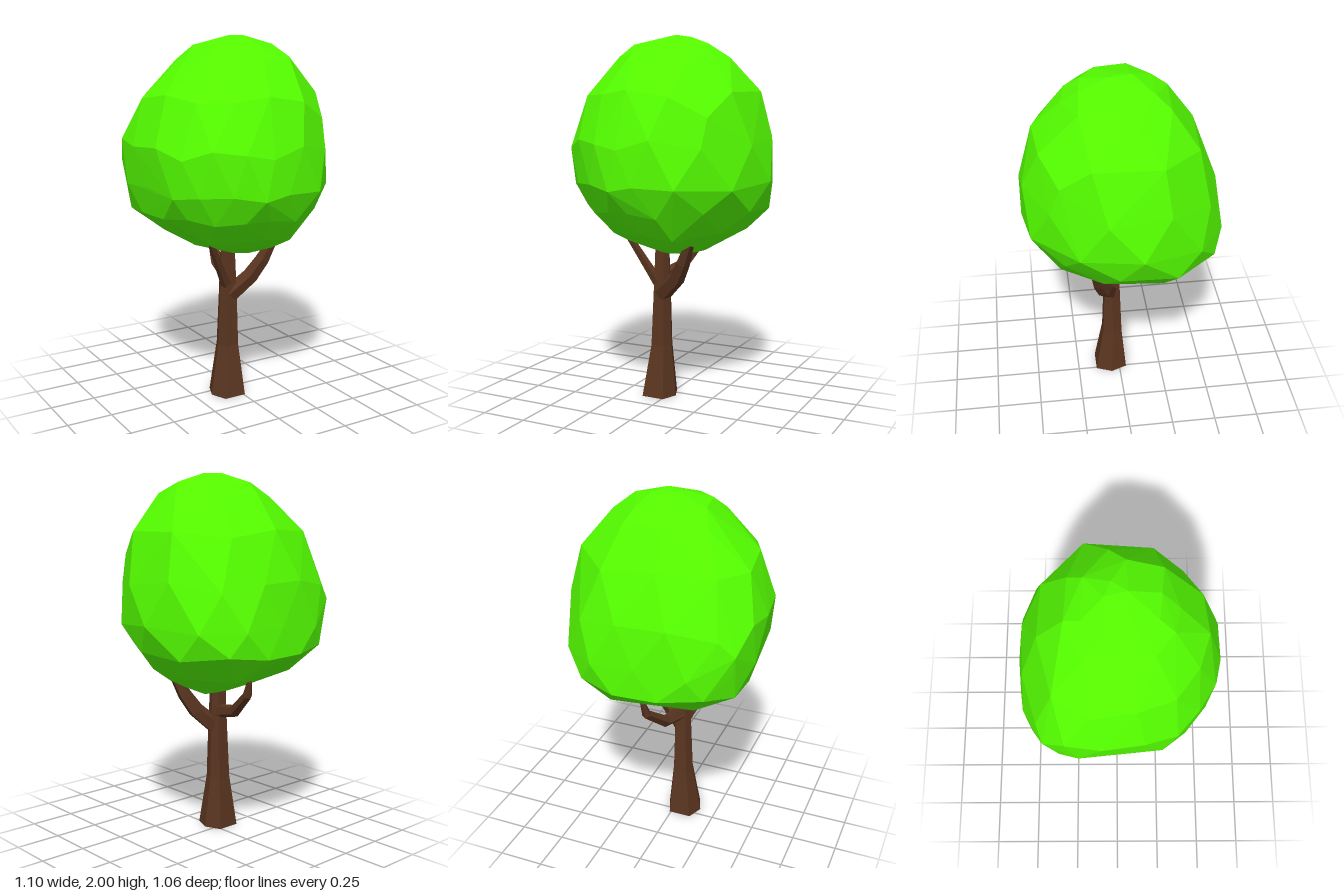
import * as THREE from 'three';
import { ConvexGeometry } from 'three/addons/geometries/ConvexGeometry.js';

const bark = new THREE.MeshStandardMaterial({ color: 0x5a3520, flatShading: true });
const leaf = new THREE.MeshStandardMaterial({ color: 0x55ff00, flatShading: true });

// Tapered limb: polygon rings [x, y, z, radius] lofted along a path, closed at both ends.
// Level rings stay horizontal; a bulge below 1 makes the polygon squarer.
function limb(name, path, sides, level = false, bulge = 1) {
  const pts = path.map(p => new THREE.Vector3(p[0], p[1], p[2]));
  const squared = s => Math.sign(s) * Math.abs(s) ** bulge;
  const pos = [], index = [];
  pts.forEach((p, i) => {
    const dir = level ? new THREE.Vector3(0, 1, 0)
      : pts[Math.min(i + 1, pts.length - 1)].clone().sub(pts[Math.max(i - 1, 0)]).normalize();
    const turn = new THREE.Quaternion().setFromUnitVectors(new THREE.Vector3(0, 1, 0), dir);
    for (let k = 0; k < sides; k++) {
      const a = ((k + 0.5) / sides) * Math.PI * 2, r = path[i][3];
      const v = new THREE.Vector3(squared(Math.sin(a)) * r, 0, squared(Math.cos(a)) * r);
      v.applyQuaternion(turn).add(p);
      pos.push(v.x, v.y, v.z);
    }
  });
  for (let i = 0; i < pts.length - 1; i++) {
    for (let k = 0; k < sides; k++) {
      const a = i * sides + k, b = i * sides + (k + 1) % sides;
      index.push(a, b, b + sides, a, b + sides, a + sides);
    }
  }
  const top = (pts.length - 1) * sides;
  for (let k = 1; k < sides - 1; k++) {
    index.push(0, k + 1, k, top, top + k, top + k + 1);
  }
  const geo = new THREE.BufferGeometry();
  geo.setAttribute('position', new THREE.Float32BufferAttribute(pos, 3));
  geo.setIndex(index);
  const flat = geo.toNonIndexed();
  flat.computeVertexNormals();
  const mesh = new THREE.Mesh(flat, bark);
  mesh.name = name;
  return mesh;
}

// Faceted crown: one plan outline fitted to the extents of each level
function crown() {
  const outline = new THREE.CatmullRomCurve3([
    [-0.55, -0.21], [-0.48, -0.38], [-0.28, -0.51], [0, -0.535], [0.25, -0.525], [0.45, -0.38],
    [0.55, -0.07], [0.46, 0.25], [0.24, 0.49], [0.02, 0.53], [-0.12, 0.53], [-0.27, 0.46],
    [-0.41, 0.35], [-0.5, 0.23], [-0.53, 0],
  ].map(([x, z]) => new THREE.Vector3(x, 0, z)), true);
  // y, min x, max x, min z, max z, corners, height wobble
  const levels = [
    [0.825, -0.05, 0.16, -0.12, 0.13, 6, 0.004],
    [0.885, -0.23, 0.28, -0.25, 0.26, 8, 0.008],
    [0.945, -0.33, 0.37, -0.39, 0.36, 11, 0.015],
    [1.07, -0.48, 0.48, -0.53, 0.46, 15, 0.015],
    [1.21, -0.53, 0.55, -0.52, 0.53, 15, 0.015],
    [1.43, -0.55, 0.51, -0.49, 0.53, 15, 0.03],
    [1.69, -0.465, 0.45, -0.39, 0.45, 11, 0.02],
    [1.88, -0.27, 0.32, -0.25, 0.3, 9, 0.015],
    [1.945, -0.2, 0.23, -0.17, 0.21, 7, 0.006],
    [1.995, 0, 0.1, -0.06, 0.05, 4, 0.005],
  ];
  // two corners that bulge beyond the levels
  const points = [new THREE.Vector3(0.36, 1.57, 0.34), new THREE.Vector3(-0.48, 1.32, -0.38)];
  levels.forEach(([y, x0, x1, z0, z1, n, wobble], row) => {
    const ring = [];
    for (let k = 0; k < n; k++) {
      const p = outline.getPoint((k + (row % 2) * 0.5) / n);
      p.y = y + wobble * Math.sin(k * 2.3 + row * 1.7);
      ring.push(p);
    }
    const { min, max } = new THREE.Box3().setFromPoints(ring);
    for (const p of ring) {
      p.x = THREE.MathUtils.mapLinear(p.x, min.x, max.x, x0, x1);
      p.z = THREE.MathUtils.mapLinear(p.z, min.z, max.z, z0, z1);
      points.push(p);
    }
  });
  const mesh = new THREE.Mesh(new ConvexGeometry(points), leaf);
  mesh.name = 'crown';
  return mesh;
}

export function createModel() {
  const tree = new THREE.Group();
  tree.name = 'tree';
  tree.add(
    limb('trunk', [
      [-0.056, 0, 0.05, 0.1], [-0.048, 0.29, 0.04, 0.06],
      [-0.045, 0.6, 0.04, 0.049], [-0.045, 0.88, 0.038, 0.038],
    ], 6, true, 0.65),
    limb('leftBranch', [
      [-0.04, 0.58, 0.05, 0.05], [0.07, 0.685, 0.095, 0.046],
      [0.125, 0.78, 0.13, 0.04], [0.18, 0.9, 0.16, 0.026],
    ], 5),
    limb('rightBranch', [
      [-0.05, 0.62, 0.05, 0.033], [-0.1, 0.71, 0.075, 0.027], [-0.21, 0.92, 0.14, 0.018],
    ], 5),
    limb('backBranch', [
      [-0.04, 0.675, 0.04, 0.042], [-0.01, 0.71, -0.14, 0.034],
      [0.04, 0.83, -0.29, 0.026], [0.05, 0.91, -0.315, 0.014],
    ], 5),
    crown(),
  );
  return tree;
}
